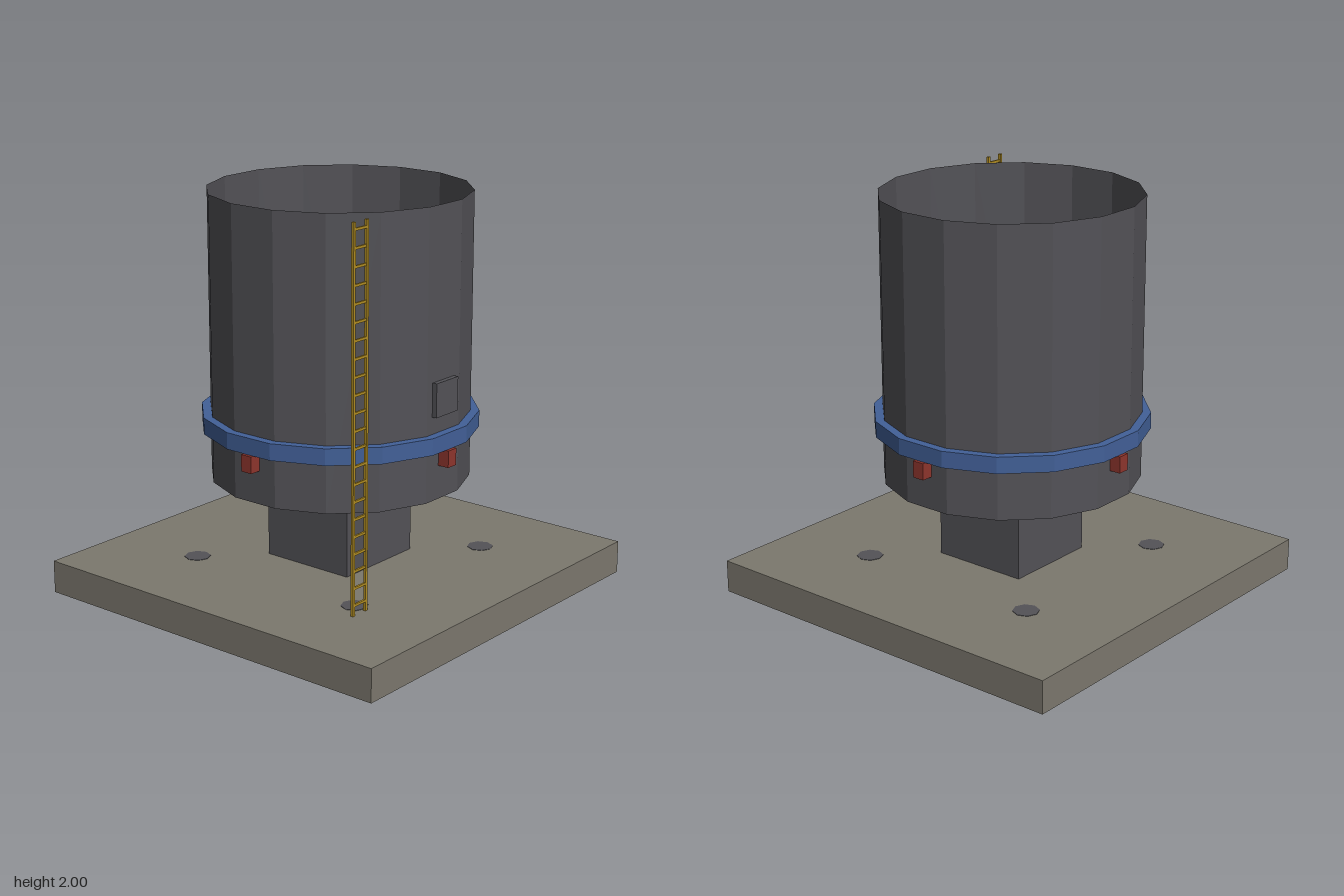
import * as THREE from 'three';

const mat = (name, color, extra = {}) => {
  const m = new THREE.MeshStandardMaterial({ color, flatShading: true, ...extra });
  m.name = name;
  return m;
};

export function createModel() {
  const model = new THREE.Group();
  model.name = 'storageTank';

  const concrete = mat('concrete', 0x7c786e);
  const steel = mat('darkSteel', 0x535257);
  const shellSteel = mat('darkSteelShell', 0x535257, { side: THREE.DoubleSide });
  const blue = mat('blue', 0x426098);
  const red = mat('red', 0x8f352d);
  const yellow = mat('yellow', 0xb08c22);

  const add = (name, geometry, material, x = 0, y = 0, z = 0, parent = model) => {
    const mesh = new THREE.Mesh(geometry, material);
    mesh.name = name;
    mesh.position.set(x, y, z);
    parent.add(mesh);
    return mesh;
  };
  // Box given by its bottom and top heights
  const box = (name, material, w, y0, y1, d, x = 0, z = 0, parent = model) =>
    add(name, new THREE.BoxGeometry(w, y1 - y0, d), material, x, (y0 + y1) / 2, z, parent);

  // Foundation slab and central pedestal
  box('slab', concrete, 2, 0.001, 0.165, 2);
  box('pedestal', steel, 0.5, 0.165, 0.59, 0.5);

  // Anchor piles running through the slab
  for (const x of [-0.5, 0.5]) for (const z of [-0.5, 0.5]) {
    add('anchorPile', new THREE.CylinderGeometry(0.065, 0.065, 0.167, 8), steel, x, 0.0835, z);
  }

  // Open sixteen-sided tank shell with one flat side facing forward
  const sides = 16, phase = Math.PI / sides;
  add('tankShell', new THREE.CylinderGeometry(0.637, 0.637, 1.41, sides, 1, true, phase),
    shellSteel, 0, 1.295, 0);

  // Collar ring around the shell
  const ringProfile = [[0.629, 0.838], [0.68, 0.838], [0.68, 0.92], [0.629, 0.92], [0.629, 0.838]]
    .map(([r, y]) => new THREE.Vector2(r, y));
  add('collarRing', new THREE.LatheGeometry(ringProfile, sides, phase), blue);

  // Four clamps under the collar
  for (let i = 0; i < 4; i++) {
    const a = i * Math.PI / 2;
    box('clamp', red, 0.062, 0.755, 0.838, 0.062, 0.652 * Math.sin(a), 0.652 * Math.cos(a));
  }

  // Front access hatch
  box('hatch', steel, 0.167, 1.004, 1.17, 0.028, 0, 0.635);

  // Free-standing ladder beside the tank
  const ladder = new THREE.Group();
  ladder.name = 'ladder';
  model.add(ladder);
  for (const x of [-0.604, -0.512]) box('ladderRail', yellow, 0.014, 0.165, 2, 0.014, x, 0.575, ladder);
  for (let i = 0; i < 22; i++) {
    const y = 0.215 + i * 0.0834;
    box('ladderRung', yellow, 0.092, y - 0.006, y + 0.006, 0.01, -0.558, 0.575, ladder);
  }

  return model;
}
